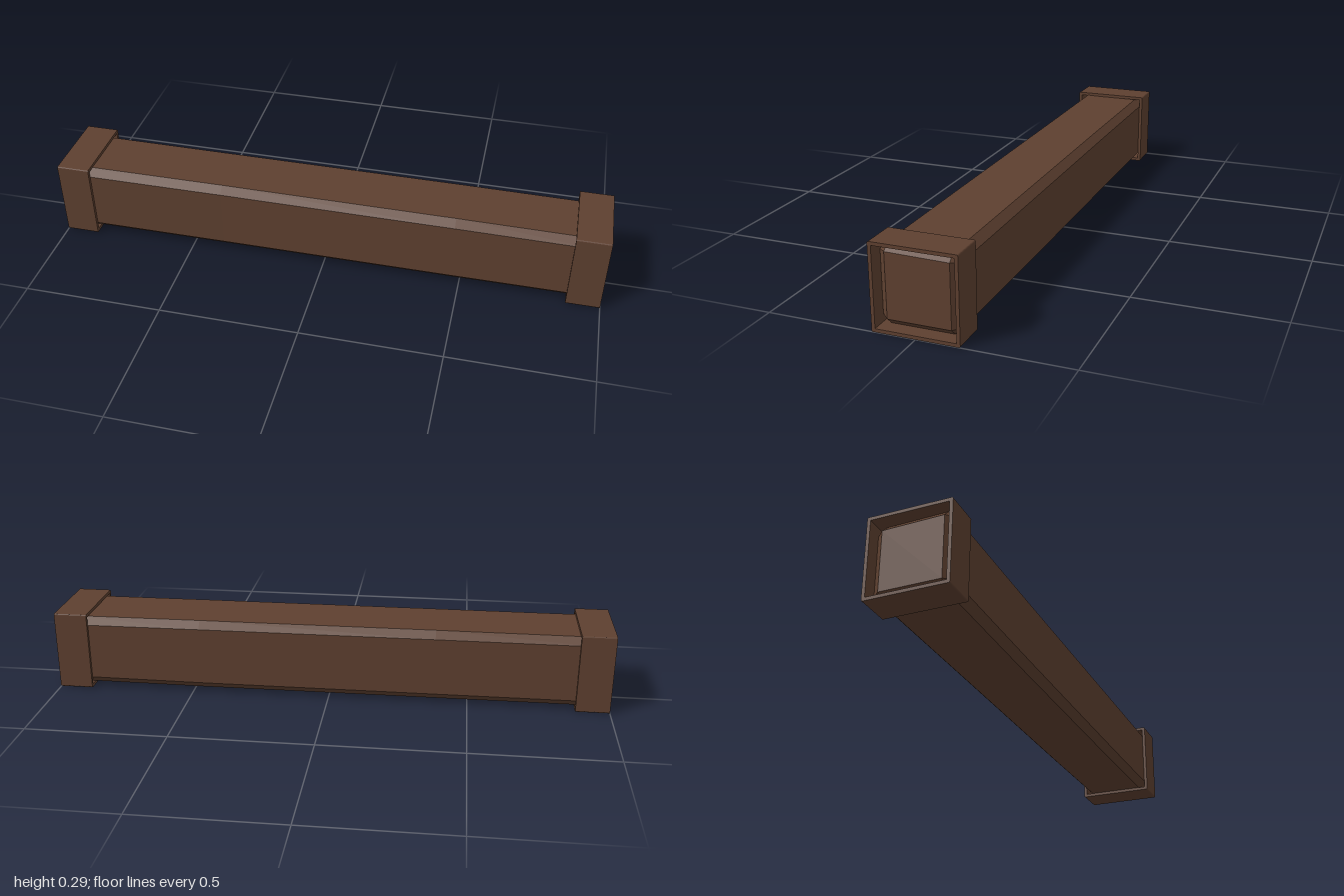
import * as THREE from 'three';

const wood = new THREE.MeshStandardMaterial({ color: 0x5e4030 });
wood.name = 'dark brown';
wood.flatShading = true;

const MID = 0.1435; // height of the beam axis

// Chamfered section as [y, z] pairs, running from the top towards +z
function section(top, bottom, front, back, c) {
  return [
    [top - 0.005, -back + c], [top, front - c], [top - c, front], [bottom + c, front],
    [bottom, front - c], [bottom, -back + c], [bottom + c, -back], [top - c - 0.005, -back],
  ];
}

// End face: a plain rectangle with each corner doubled, so the end edges are bevelled
function endSection() {
  const t = 0.247, b = 0.036, f = 0.104, k = -0.105;
  return [[t, k], [t + 0.004, f], [t + 0.004, f], [b, f], [b, f], [b, k], [b, k], [t, k]];
}

// Skins a row of sections along x and closes both ends
function loft(rings) {
  const pos = [];
  const put = (r, j) => pos.push(r.x, r.pts[j % 8][0], r.pts[j % 8][1]);
  for (let i = 0; i < rings.length - 1; i++) {
    const p = rings[i], q = rings[i + 1];
    for (let j = 0; j < 8; j++) {
      put(p, j); put(p, j + 1); put(q, j + 1);
      put(p, j); put(q, j + 1); put(q, j);
    }
  }
  const first = rings[0], last = rings[rings.length - 1];
  for (let j = 1; j < 7; j++) {
    put(last, 0); put(last, j); put(last, j + 1);
    put(first, 0); put(first, j + 1); put(first, j);
  }
  const g = new THREE.BufferGeometry();
  g.setAttribute('position', new THREE.Float32BufferAttribute(pos, 3));
  g.computeVertexNormals();
  return g;
}

// Rounded square outline
function roundedSquare(path, h, r) {
  for (let i = 0; i < 4; i++) {
    const a = (i * Math.PI) / 2;
    const sx = i === 0 || i === 3 ? 1 : -1, sy = i < 2 ? 1 : -1;
    path.absarc(sx * (h - r), sy * (h - r), r, a, a + Math.PI / 2, false);
  }
  path.closePath();
  return path;
}

// Open square band that wraps one end of the beam
function sleeveGeometry() {
  const shape = roundedSquare(new THREE.Shape(), 0.1435, 0.005);
  const hole = new THREE.Path();
  hole.moveTo(-0.132, -0.132);
  hole.lineTo(-0.132, 0.132);
  hole.lineTo(0.132, 0.132);
  hole.lineTo(0.132, -0.132);
  hole.closePath();
  shape.holes.push(hole);
  const g = new THREE.ExtrudeGeometry(shape, { depth: 0.12, bevelEnabled: false, curveSegments: 2 });
  return g.translate(0, 0, -0.06).rotateY(Math.PI / 2);
}

export function createModel() {
  const group = new THREE.Group();
  group.name = 'woodenBeam';

  // Hand-hewn beam, slightly uneven along its length
  const beam = new THREE.Mesh(loft([
    { x: -0.975, pts: endSection() },
    { x: -0.95, pts: section(0.277, 0.012, 0.13, 0.132, 0.026) },
    { x: -0.38, pts: section(0.277, 0.011, 0.128, 0.131, 0.026) },
    { x: 0.47, pts: section(0.276, 0.011, 0.129, 0.132, 0.026) },
    { x: 0.95, pts: section(0.274, 0.013, 0.13, 0.131, 0.026) },
    { x: 0.975, pts: endSection() },
  ]), wood);
  beam.name = 'beam';
  group.add(beam);

  // End sleeves
  const sleeve = sleeveGeometry();
  for (const [name, x] of [['leftSleeve', 0.94], ['rightSleeve', -0.94]]) {
    const m = new THREE.Mesh(sleeve, wood);
    m.name = name;
    m.position.set(x, MID, 0);
    group.add(m);
  }
  return group;
}
